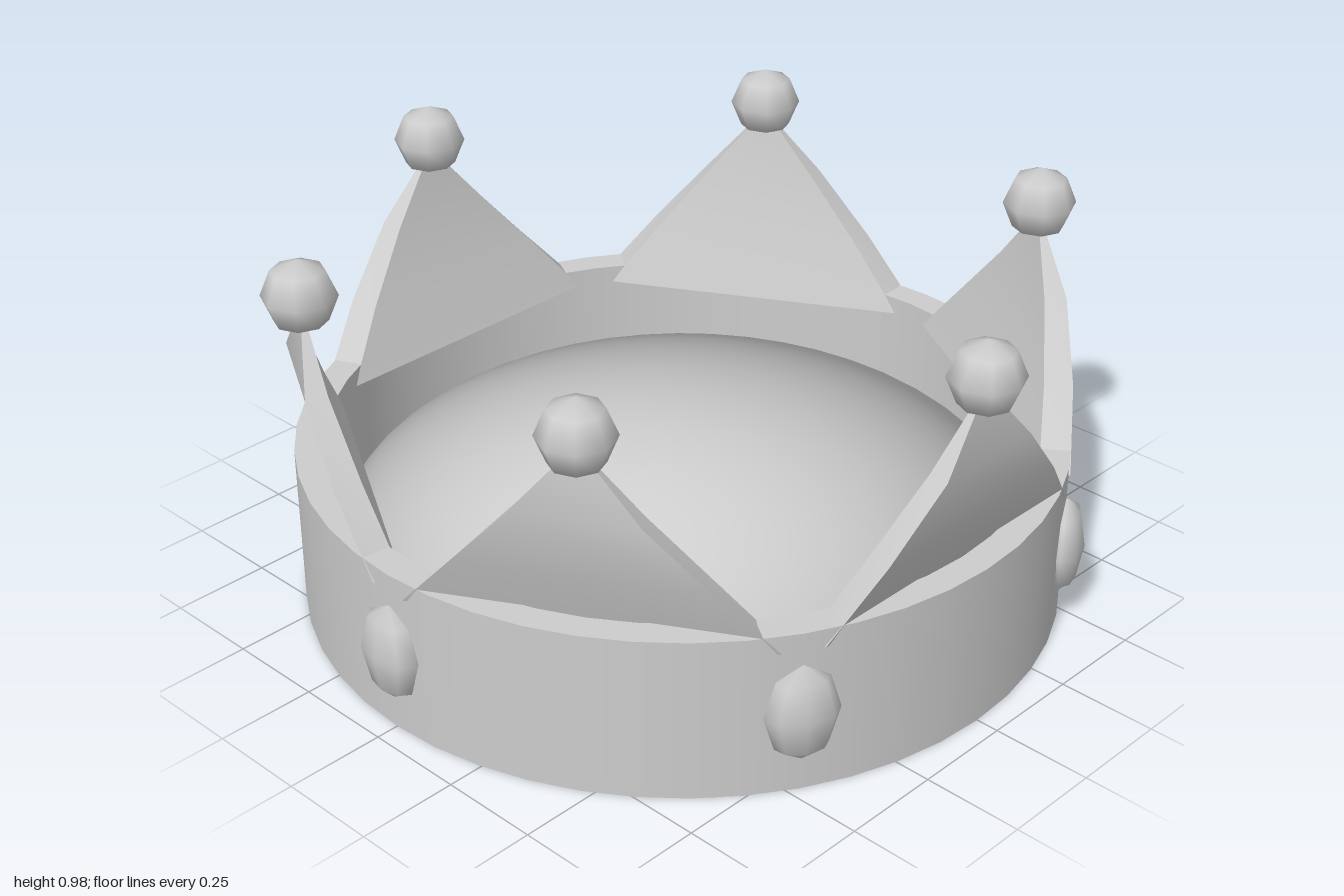
import * as THREE from 'three';
import { mergeGeometries } from 'three/addons/utils/BufferGeometryUtils.js';

// Round band: one lathed strip per side of its section, so the rims stay sharp
function bandGeometry() {
  const section = [[0.942, 0], [0.942, 0.415], [0.87, 0.415], [0.87, 0]]
    .map(([x, y]) => new THREE.Vector2(x, y));
  return mergeGeometries(section.map((p, i) =>
    new THREE.LatheGeometry([p, section[(i + 1) % 4]], 48)));
}

// One point: tapering sections whose corners follow the round band
function spikeGeometry() {
  // [height, half angle in degrees, outer radius, inner radius]
  const levels = [
    [0.37, 27, 0.945, 0.87],
    [0.534, 18, 0.942, 0.872],
    [0.695, 9, 0.94, 0.885],
    [0.862, 0.2, 0.906, 0.902],
  ];
  const rings = levels.map(([y, deg, ro, ri]) => {
    const w = THREE.MathUtils.degToRad(deg);
    return [[ro, -w], [ro, w], [ri, w], [ri, -w]].map(
      ([r, a]) => [r * Math.cos(a), y, r * Math.sin(a)]);
  });
  // Each side is a strip of its own: smooth along it, sharp at the corners
  const strip = (pairs) => {
    const g = new THREE.BufferGeometry();
    g.setAttribute('position', new THREE.Float32BufferAttribute(pairs.flat(2), 3));
    const index = [];
    for (let k = 0; k < pairs.length - 1; k++) {
      const a = 2 * k;
      index.push(a, a + 2, a + 3, a, a + 3, a + 1);
    }
    g.setIndex(index);
    g.computeVertexNormals();
    return g;
  };
  const sides = [0, 1, 2, 3].map((i) => strip(rings.map((r) => [r[i], r[(i + 1) % 4]])));
  const [a, b, c, d] = rings[0];
  return mergeGeometries([...sides, strip([[d, c], [a, b]])]);
}

// Shallow dome that keeps the full shading of a round one
function domeGeometry() {
  const g = new THREE.SphereGeometry(0.855, 48, 24, 0, Math.PI * 2, 0, Math.PI / 2);
  const p = g.attributes.position;
  for (let i = 0; i < p.count; i++) p.setY(i, p.getY(i) * 0.34);
  return g;
}

export function createModel() {
  const crown = new THREE.Group();
  crown.name = 'crown';
  const grey = new THREE.MeshStandardMaterial({ color: 0xcccccc, side: THREE.DoubleSide });
  grey.name = 'light grey';

  function add(name, geometry, parent = crown) {
    const mesh = new THREE.Mesh(geometry, grey);
    mesh.name = name;
    parent.add(mesh);
    return mesh;
  }

  add('band', bandGeometry());
  add('lining', domeGeometry()).position.y = 0.12;

  // Six points with balls, and six oval gems between them
  const spike = spikeGeometry();
  const ball = new THREE.SphereGeometry(0.09, 8, 4);
  const gem = new THREE.SphereGeometry(1, 8, 4);
  gem.scale(0.05, 0.125, 0.09);
  for (let i = 0; i < 6; i++) {
    const angle = i * Math.PI / 3;
    add('spike', spike).rotation.y = angle;
    add('ball', ball).position.set(0.905 * Math.cos(angle), 0.89, 0.905 * Math.sin(angle));

    const setting = new THREE.Group();
    setting.name = 'gemSetting';
    setting.rotation.y = angle + Math.PI / 6;
    crown.add(setting);
    add('gem', gem, setting).position.set(0.945, 0.21, 0);
  }
  return crown;
}
